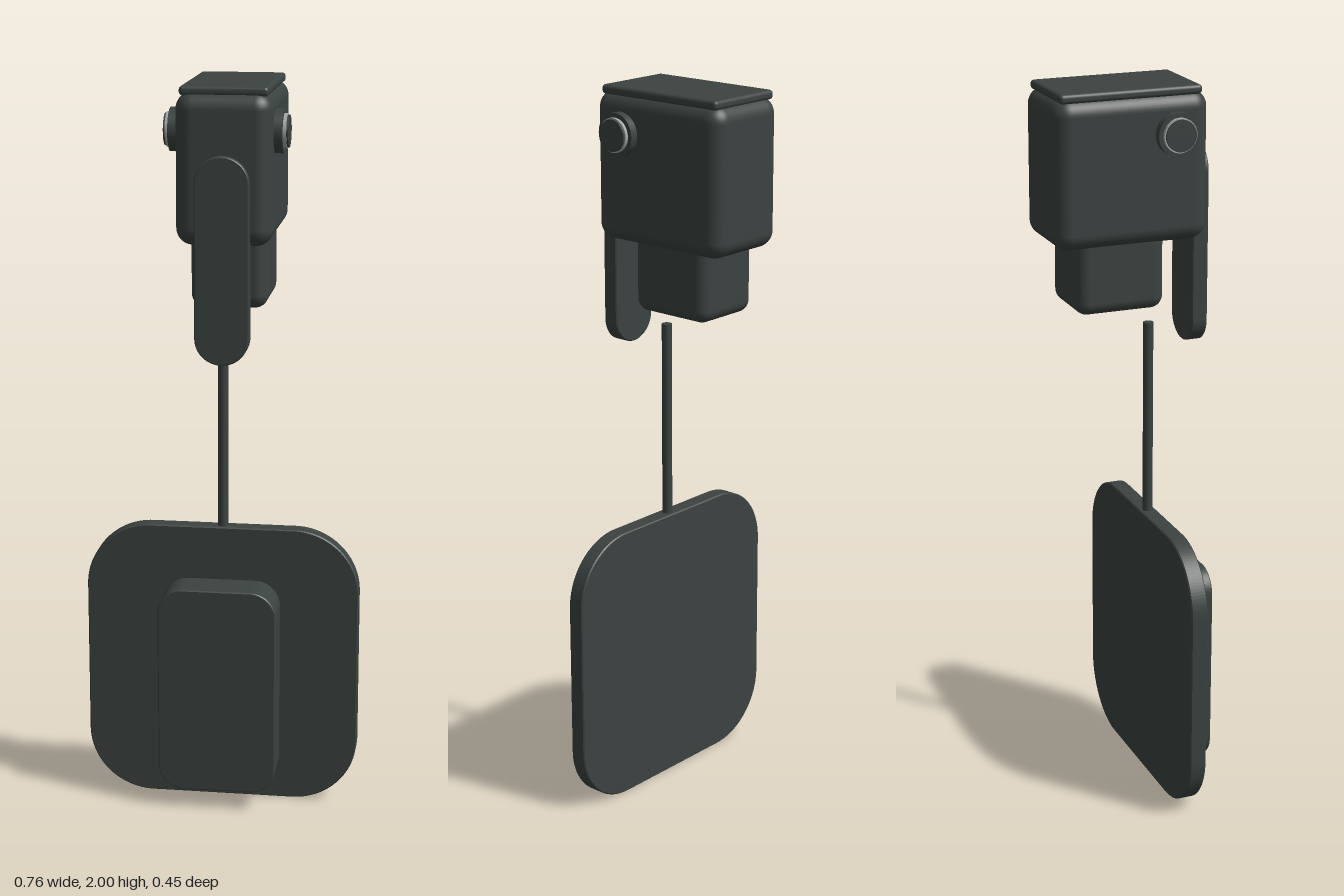
import * as THREE from 'three';
import { RoundedBoxGeometry } from 'three/addons/geometries/RoundedBoxGeometry.js';

export function createModel() {
  const model = new THREE.Group();
  const darkGrey = new THREE.MeshStandardMaterial({ color: 0x3b4341 });
  darkGrey.name = 'darkGrey';
  const silver = new THREE.MeshStandardMaterial({ color: 0xa4a8a9 });
  silver.name = 'silver';

  function add(name, geometry, x, y, z, material = darkGrey) {
    const mesh = new THREE.Mesh(geometry, material);
    mesh.name = name;
    mesh.position.set(x, y, z);
    model.add(mesh);
    return mesh;
  }

  // Flat slab with rounded outline, extruded along z and centred
  function slab(w, h, d, r) {
    const x = w / 2, y = h / 2, s = new THREE.Shape();
    s.absarc(x - r, y - r, r, 0, Math.PI / 2);
    s.absarc(-x + r, y - r, r, Math.PI / 2, Math.PI);
    s.absarc(-x + r, -y + r, r, Math.PI, Math.PI * 1.5);
    s.absarc(x - r, -y + r, r, Math.PI * 1.5, Math.PI * 2);
    s.closePath();
    const b = 0.003;
    const g = new THREE.ExtrudeGeometry(s, {
      depth: d - 2 * b, bevelThickness: b, bevelSize: b, bevelOffset: -b,
      bevelSegments: 1, curveSegments: 16,
    });
    return g.translate(0, 0, -d / 2 + b);
  }

  // Lower paddle with raised block, hung on a thin rod
  add('backPlate', slab(0.756, 0.79, 0.047, 0.18), 0, 0.395, 0.0745);
  add('raisedBlock', slab(0.325, 0.585, 0.112, 0.07), -0.0015, 0.3475, 0.15);
  add('rod', new THREE.CylinderGeometry(0.014, 0.014, 0.56, 20), 0, 1.06, 0.075);

  // Upper housing, lid and lower box
  const cx = 0.016;
  add('housing', new RoundedBoxGeometry(0.255, 0.4, 0.43, 6, 0.045), cx, 1.785, -0.01);
  add('lid', new RoundedBoxGeometry(0.234, 0.025, 0.395, 4, 0.01), cx, 1.9875, -0.0125);
  add('lowerBox', new RoundedBoxGeometry(0.207, 0.23, 0.25, 6, 0.035), cx, 1.515, -0.035);

  // Front lever
  add('lever', slab(0.144, 0.55, 0.045, 0.071), cx, 1.55, 0.2025);

  // Side knobs: flange, silver ring and dark cap on each side
  const knobLayers = [
    ['knobFlange', 0.058, 0.1, 0.15, darkGrey],
    ['knobRing', 0.046, 0.14, 0.159, silver],
    ['knobCap', 0.0425, 0.14, 0.164, darkGrey],
  ];
  for (const side of [-1, 1]) {
    for (const [name, r, from, to, material] of knobLayers) {
      const g = new THREE.CylinderGeometry(r, r, to - from, 40).rotateZ(Math.PI / 2);
      add(name, g, cx + side * (from + to) / 2, 1.88, 0.106, material);
    }
  }
  return model;
}
